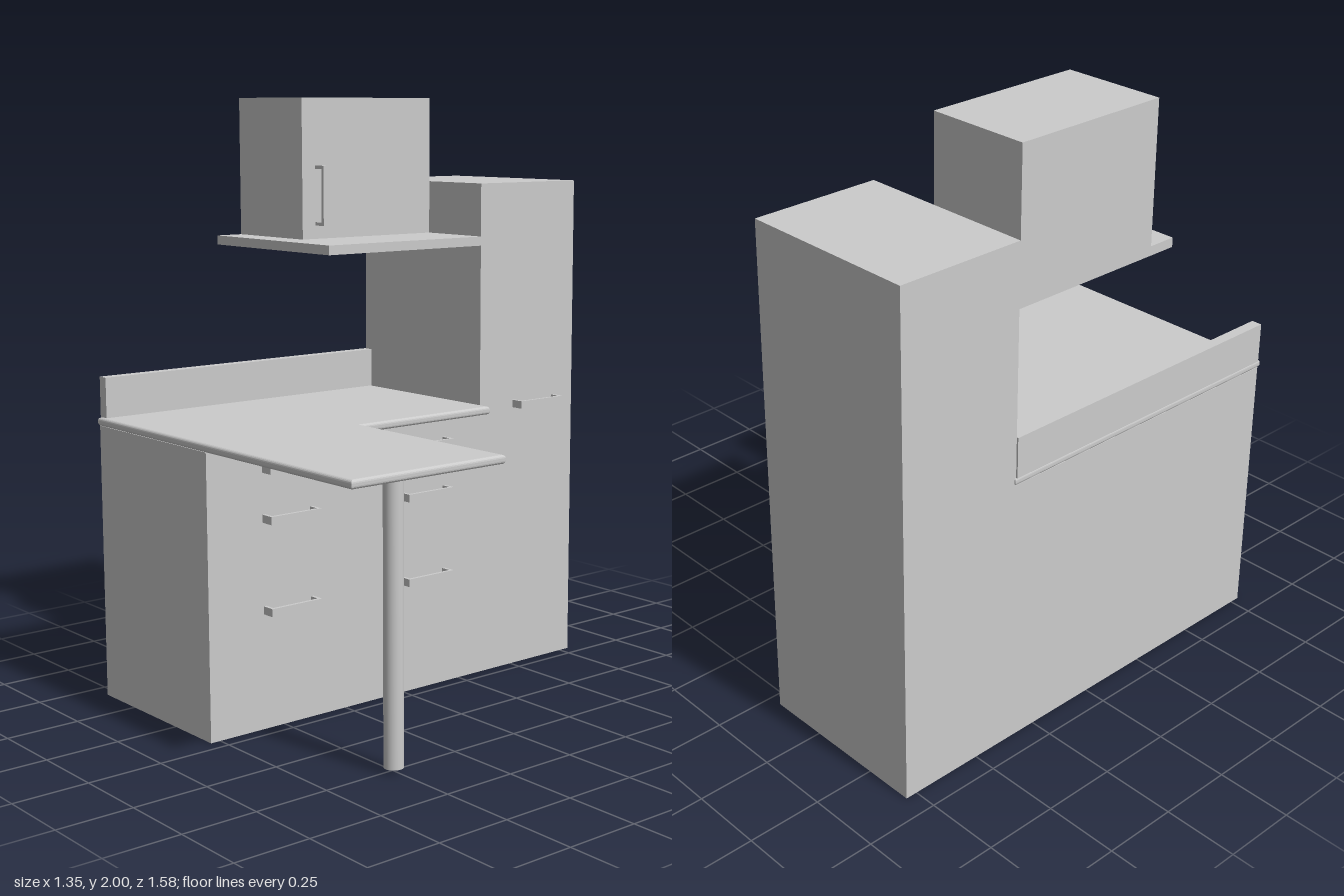
import * as THREE from 'three';

const material = new THREE.MeshStandardMaterial({ color: 0xcccccc });

function addMesh(parent, name, geometry) {
  const mesh = new THREE.Mesh(geometry, material);
  mesh.name = name;
  parent.add(mesh);
  return mesh;
}

// Box given by its minimum and maximum corners
function addBox(parent, name, [x0, y0, z0], [x1, y1, z1]) {
  const mesh = addMesh(parent, name, new THREE.BoxGeometry(x1 - x0, y1 - y0, z1 - z0));
  mesh.position.set((x0 + x1) / 2, (y0 + y1) / 2, (z0 + z1) / 2);
  return mesh;
}

const polygon = (points) => new THREE.Shape(points.map(([x, y]) => new THREE.Vector2(x, y)));

// U-shaped pull, long along z, bar on the +x side, centred on its middle
function makeHandle(name) {
  const length = 0.197, reach = 0.046, height = 0.026, t = 0.011;
  const l = length / 2, r = reach / 2;
  const shape = polygon([
    [-r, -l], [r, -l], [r, l], [-r, l],
    [-r, l - t], [r - t, l - t], [r - t, -l + t], [-r, -l + t],
  ]);
  const geometry = new THREE.ExtrudeGeometry(shape, { depth: height, bevelEnabled: false });
  geometry.translate(0, 0, -height / 2).rotateX(-Math.PI / 2);
  const mesh = new THREE.Mesh(geometry, material);
  mesh.name = name;
  return mesh;
}

export function createModel() {
  const model = new THREE.Group();
  model.name = 'kitchenUnit';

  // Low cabinet and tall cupboard share one stepped side profile (-z, y)
  const left = -0.672, right = -0.047;
  const body = new THREE.ExtrudeGeometry(
    polygon([[-0.785, 0], [0.79, 0], [0.79, 1.714], [0.346, 1.714], [0.346, 0.927], [-0.785, 0.927]]),
    { depth: right - left, bevelEnabled: false });
  body.rotateY(Math.PI / 2).translate(left, 0, 0);
  addMesh(model, 'cabinetBody', body);

  // Shelf with the wall cabinet standing on it
  addBox(model, 'shelf', [left, 1.504, -0.346], [right, 1.535, 0.305]);
  addBox(model, 'wallCabinet', [left, 1.535, -0.346], [-0.316, 2, 0.207]);

  // L-shaped worktop with softened edges, outline in (x, -z)
  const b = 0.01, thickness = 0.028;
  const top = new THREE.ExtrudeGeometry(
    polygon([
      [-0.676 + b, -0.79 + b], [0.676 - b, -0.79 + b], [0.676 - b, -0.21 - b],
      [-0.003 - b, -0.21 - b], [-0.003 - b, 0.352 - b], [-0.676 + b, 0.352 - b],
    ]),
    { depth: thickness - 2 * b, bevelEnabled: true, bevelSize: b, bevelThickness: b, bevelSegments: 4 });
  top.rotateX(-Math.PI / 2).translate(0, 0.927 + b, 0);
  addMesh(model, 'worktop', top);

  // Two upstand panels along the wall edge
  addBox(model, 'upstandBack', [-0.678, 0.953, -0.346], [-0.641, 1.09, 0.215]);
  addBox(model, 'upstandFront', [-0.678, 0.953, 0.215], [-0.641, 1.09, 0.778]);

  // Table leg
  const leg = addMesh(model, 'tableLeg', new THREE.CylinderGeometry(0.031, 0.031, 0.915, 32));
  leg.position.set(0.511, 0.4725, 0.505);

  // Drawer pulls in two columns
  for (const [z, heights] of [[0.491, [0.855, 0.695, 0.399]], [-0.071, [0.855, 0.688, 0.399]]]) {
    for (const y of heights) {
      const handle = makeHandle('drawerHandle');
      handle.position.set(-0.005, y, z);
      model.add(handle);
    }
  }

  // Tall cupboard pull
  const tallHandle = makeHandle('tallDoorHandle');
  tallHandle.position.set(0.006, 0.951, -0.571);
  model.add(tallHandle);

  // Upright pull on the wall cabinet
  const wallHandle = makeHandle('wallCabinetHandle');
  wallHandle.rotation.x = Math.PI / 2;
  wallHandle.position.set(-0.27, 1.68, 0.159);
  model.add(wallHandle);

  return model;
}
